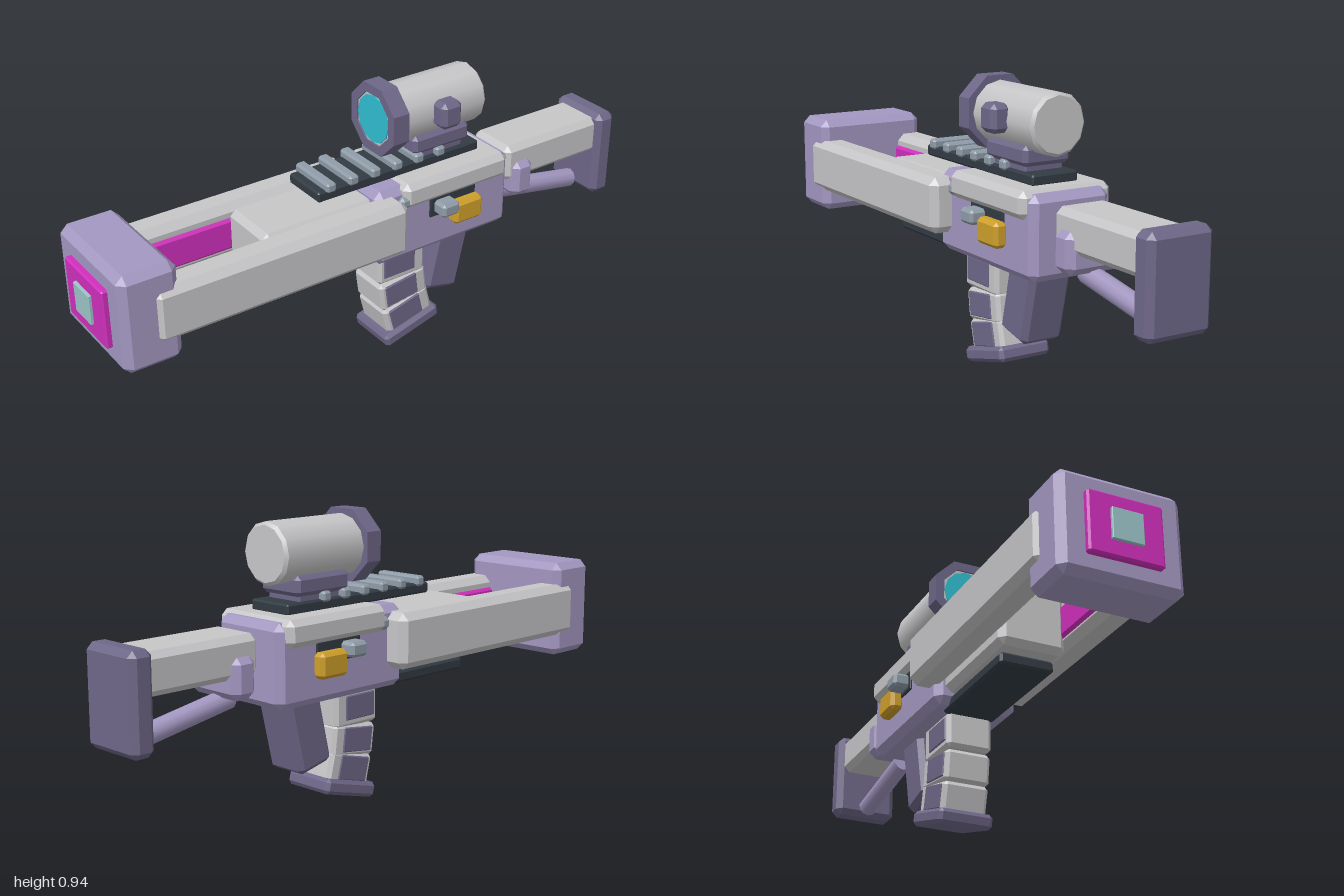
import * as THREE from 'three';
import { ConvexGeometry } from 'three/addons/geometries/ConvexGeometry.js';

const mat = (name, color) => {
  const m = new THREE.MeshStandardMaterial({ color });
  m.name = name;
  return m;
};

// Box with chamfered edges, centred on the origin
function chamferBox(w, h, d, c) {
  const pts = [];
  const [x, y, z] = [w / 2, h / 2, d / 2];
  for (const i of [-1, 1]) for (const j of [-1, 1]) for (const k of [-1, 1]) {
    pts.push(
      new THREE.Vector3(i * x, j * (y - c), k * (z - c)),
      new THREE.Vector3(i * (x - c), j * y, k * (z - c)),
      new THREE.Vector3(i * (x - c), j * (y - c), k * z));
  }
  return new ConvexGeometry(pts);
}

export function createModel() {
  const grey = mat('light grey', 0xc6c6c8);
  const lavender = mat('lavender', 0xa397c1);
  const purple = mat('dark purple', 0x6e6788);
  const magenta = mat('magenta', 0xd02fbc);
  const cyan = mat('lens cyan', 0x2fbdd0);
  const teal = mat('pale teal', 0x9cc4c8);
  const slate = mat('slate', 0x323b43);
  const steel = mat('blue grey', 0x8f9ca8);
  const yellow = mat('yellow', 0xcf9f2a);

  const model = new THREE.Group();
  const add = (name, geometry, material, x = 0, y = 0, z = 0, tilt = 0) => {
    const mesh = new THREE.Mesh(geometry, material);
    mesh.name = name;
    mesh.position.set(x, y, z);
    mesh.rotation.x = tilt;
    model.add(mesh);
    return mesh;
  };
  // Chamfered block given by its limits on each axis
  const block = (name, m, [x0, x1], [y0, y1], [z0, z1], c = 0.012) =>
    add(name, chamferBox(x1 - x0, y1 - y0, z1 - z0, c), m,
      (x0 + x1) / 2, (y0 + y1) / 2, (z0 + z1) / 2);
  // The same block on both sides
  const pair = (name, m, [x0, x1], y, z, c) => {
    block(name + 'Left', m, [x0, x1], y, z, c);
    block(name + 'Right', m, [-x1, -x0], y, z, c);
  };

  // Muzzle block with inset plates
  block('muzzleBlock', lavender, [-0.2, 0.2], [0.365, 0.695], [0.78, 0.97], 0.024);
  block('muzzlePlate', magenta, [-0.12, 0.12], [0.43, 0.627], [0.96, 0.99], 0.006);
  block('muzzleCore', teal, [-0.05, 0.05], [0.48, 0.58], [0.98, 1.0], 0.002);

  // Side rails with glowing strips inside
  pair('sideRail', grey, [0.105, 0.213], [0.44, 0.622], [-0.03, 0.87], 0.024);
  pair('glowStrip', magenta, [0.095, 0.135], [0.47, 0.58], [0.3, 0.82], 0.01);

  // Fore body and lower guard
  block('foreBody', grey, [-0.112, 0.112], [0.412, 0.612], [-0.05, 0.445], 0.02);
  block('lowerGuard', slate, [-0.09, 0.09], [0.365, 0.405], [-0.02, 0.4], 0.008);

  // Receiver and its cover
  block('receiver', lavender, [-0.143, 0.143], [0.375, 0.642], [-0.49, 0.05], 0.024);
  block('receiverCover', grey, [-0.165, 0.165], [0.565, 0.652], [-0.465, -0.045], 0.02);
  pair('ejectionPort', slate, [0.135, 0.149], [0.5, 0.57], [-0.34, -0.155], 0.003);
  pair('boltHandle', steel, [0.14, 0.2], [0.512, 0.56], [-0.24, -0.17], 0.01);
  pair('boltTip', steel, [0.12, 0.162], [0.57, 0.612], [-0.08, -0.03], 0.012);
  pair('sideButton', yellow, [0.135, 0.182], [0.458, 0.54], [-0.35, -0.235], 0.012);

  // Stock
  block('stockTube', grey, [-0.093, 0.093], [0.487, 0.617], [-0.94, -0.52], 0.02);
  block('buttPad', purple, [-0.113, 0.113], [0.322, 0.632], [-1.0, -0.918], 0.02);
  block('stockCollar', lavender, [-0.113, 0.113], [0.425, 0.56], [-0.635, -0.543], 0.024);
  const from = new THREE.Vector3(0, 0.413, -0.565), to = new THREE.Vector3(0, 0.352, -0.905);
  const dir = to.clone().sub(from);
  const strut = add('stockStrut', new THREE.CylinderGeometry(0.033, 0.033, dir.length(), 10), lavender);
  strut.position.copy(from).add(to).multiplyScalar(0.5);
  strut.quaternion.setFromUnitVectors(new THREE.Vector3(0, 1, 0), dir.normalize());

  // Grip
  add('grip', chamferBox(0.15, 0.29, 0.142, 0.018), purple, 0, 0.287, -0.302, -0.225);

  // Curved magazine: segments with side panels, then the base
  const segments = [[0.315, -0.098, 0], [0.207, -0.109, 0.13], [0.115, -0.128, 0.25]];
  segments.forEach(([y, z, tilt], i) => {
    add('magazineSegment' + (i + 1), chamferBox(0.156, i ? 0.105 : 0.122, 0.188, 0.012), grey, 0, y, z, tilt);
    const ahead = 0.012;
    add('magazinePanel' + (i + 1), chamferBox(0.164, 0.08, 0.126, 0.003), purple, 0,
      y + 0.003 - Math.sin(tilt) * ahead, z + Math.cos(tilt) * ahead, tilt);
  });
  add('magazineBase', chamferBox(0.188, 0.05, 0.226, 0.012), purple, 0, 0.054, -0.137, 0.26);

  // Top rail with rungs
  block('topRail', slate, [-0.083, 0.083], [0.648, 0.684], [-0.4, 0.232], 0.006);
  for (let i = 0; i < 6; i++) {
    const z = 0.186 - i * 0.085;
    block('railRung' + (i + 1), steel, [-0.092, 0.092], [0.675, 0.708], [z - 0.018, z + 0.018], 0.007);
  }

  // Scope mount and body
  block('scopeMountFoot', purple, [-0.07, 0.07], [0.676, 0.712], [-0.34, -0.165], 0.006);
  block('scopeMount', purple, [-0.085, 0.085], [0.7, 0.765], [-0.36, -0.135], 0.014);
  const sy = 0.831;
  const tube = (name, m, rFront, rBack, z0, z1, sides = 12) =>
    add(name, new THREE.CylinderGeometry(rFront, rBack, z1 - z0, sides), m, 0, sy, (z0 + z1) / 2, Math.PI / 2);
  tube('scopeTube', grey, 0.099, 0.099, -0.405, -0.06);
  tube('scopeRearEdge', grey, 0.099, 0.089, -0.415, -0.405);
  tube('lensRing', grey, 0.092, 0.092, -0.07, -0.036);
  tube('lens', cyan, 0.081, 0.081, -0.06, -0.032);

  // Octagonal hood round the lens
  const ngon = (Target, r, n, turn) => {
    const shape = new Target();
    for (let i = 0; i < n; i++) {
      const a = turn + (i / n) * Math.PI * 2;
      if (i) shape.lineTo(r * Math.cos(a), r * Math.sin(a));
      else shape.moveTo(r * Math.cos(a), r * Math.sin(a));
    }
    shape.closePath();
    return shape;
  };
  const hood = ngon(THREE.Shape, 0.124, 8, Math.PI / 8);
  hood.holes.push(ngon(THREE.Path, 0.091, 8, Math.PI / 8));
  add('scopeHood', new THREE.ExtrudeGeometry(hood, { depth: 0.06, bevelEnabled: false }), purple, 0, sy, -0.09);
  block('scopeKnob', purple, [0.08, 0.148], [0.794, 0.885], [-0.28, -0.2], 0.016);

  return model;
}
